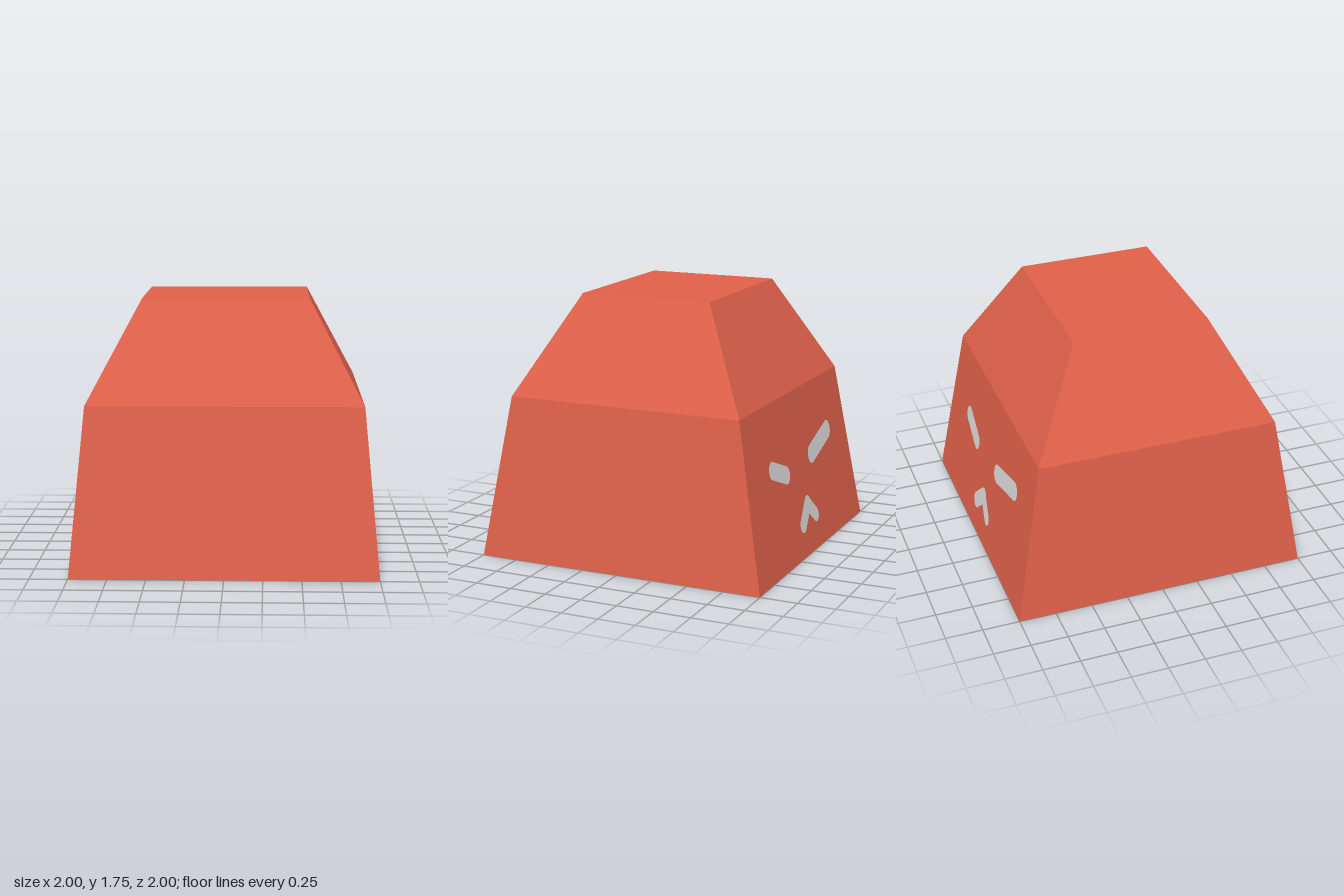
import * as THREE from 'three';

const red = new THREE.MeshStandardMaterial({ color: 0xe0614a });
red.name = 'coral red';
const pale = new THREE.MeshStandardMaterial({ color: 0xdcdad9 });
pale.name = 'pale grey';

// Half-width, height and half-depth at the base, shoulder and top
const levels = [
  { x: 1, y: 0, z: 1 },
  { x: 0.9, y: 1.095, z: 0.81 },
  { x: 0.55, y: 1.755, z: 0.455 },
];

// Box with one extra ring, tapered level by level
function taperedBlock() {
  const geo = new THREE.BoxGeometry(2, 2, 2, 1, 2, 1).toNonIndexed();
  const p = geo.attributes.position;
  for (let i = 0; i < p.count; i++) {
    const l = levels[Math.round(p.getY(i)) + 1];
    p.setXYZ(i, Math.sign(p.getX(i)) * l.x, l.y, Math.sign(p.getZ(i)) * l.z);
  }
  geo.computeVertexNormals();
  return geo;
}

// Flat round-ended stroke between two points
function stroke([ax, ay], [bx, by], r) {
  const t = Math.atan2(by - ay, bx - ax);
  const s = new THREE.Shape();
  s.absarc(bx, by, r, t - Math.PI / 2, t + Math.PI / 2, false);
  s.absarc(ax, ay, r, t + Math.PI / 2, t + Math.PI * 1.5, false);
  s.closePath();
  return new THREE.ShapeGeometry(s, 16);
}

export function createModel() {
  const model = new THREE.Group();
  model.name = 'taperedBlock';

  const body = new THREE.Mesh(taperedBlock(), red);
  body.name = 'body';
  model.add(body);

  // Face marks lie on the sloping lower back panel
  const face = new THREE.Group();
  face.name = 'face';
  const slope = Math.atan((levels[0].z - levels[1].z) / levels[1].y);
  face.rotation.set(-slope, Math.PI, 0, 'YXZ');
  face.position.z = -levels[0].z - 0.004;
  const marks = [
    ['rightEye', [0.2, 0.635], [0.55, 0.725], 0.065],
    ['leftEye', [-0.51, 0.69], [-0.29, 0.605], 0.06],
    ['mouthLeft', [-0.125, 0.22], [0, 0.335], 0.056],
    ['mouthRight', [0, 0.335], [0.125, 0.225], 0.05],
  ];
  for (const [name, a, b, r] of marks) {
    const mark = new THREE.Mesh(stroke(a, b, r), pale);
    mark.name = name;
    face.add(mark);
  }
  model.add(face);
  return model;
}
